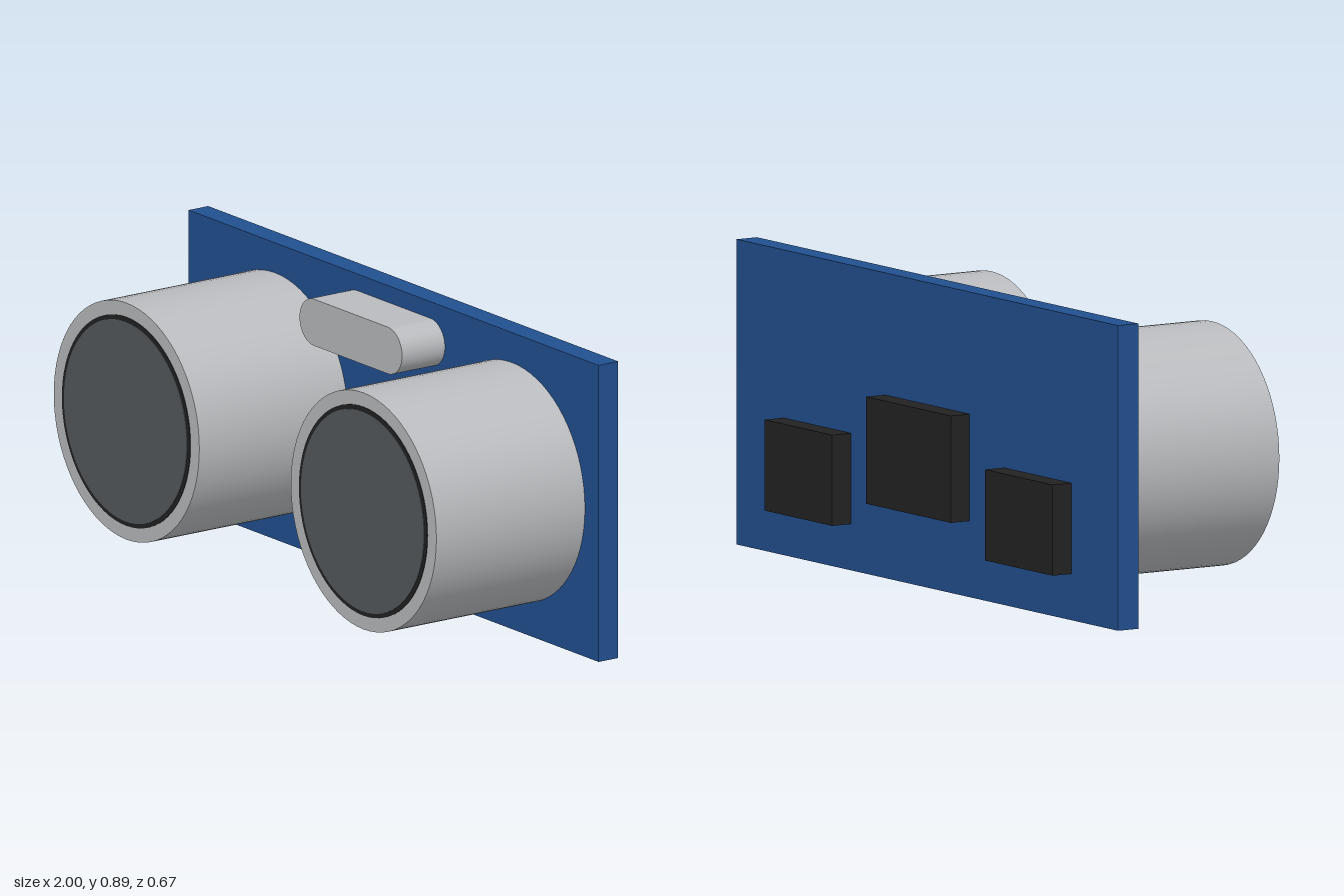
import * as THREE from 'three';

const material = (name, color) => {
  const m = new THREE.MeshStandardMaterial({ color });
  m.name = name;
  return m;
};

export function createModel() {
  const blue = material('board blue', 0x214f8f);
  const silver = material('silver', 0xb8babd);
  const black = material('black', 0x222222);
  const grey = material('mesh grey', 0x54585b);

  const model = new THREE.Group();
  model.name = 'ultrasonicSensor';

  const add = (name, geometry, mat, x, y, z) => {
    const mesh = new THREE.Mesh(geometry, mat);
    mesh.name = name;
    mesh.position.set(x, y, z);
    model.add(mesh);
  };
  // Box given by its extents
  const box = (name, mat, x0, x1, y0, y1, z0, z1) =>
    add(name, new THREE.BoxGeometry(x1 - x0, y1 - y0, z1 - z0), mat,
      (x0 + x1) / 2, (y0 + y1) / 2, (z0 + z1) / 2);
  // Cylinder along z from z0 to z1
  const disc = (name, mat, r, x, z0, z1) =>
    add(name, new THREE.CylinderGeometry(r, r, z1 - z0, 72).rotateX(Math.PI / 2), mat,
      x, 0.445, (z0 + z1) / 2);

  // Circuit board
  box('circuitBoard', blue, -1, 1, 0, 0.89, -0.27, -0.2);

  // Two transducers: barrel, dark rim and grille
  for (const [side, x] of [['left', 0.578], ['right', -0.578]]) {
    disc(side + 'Barrel', silver, 0.355, x, -0.2, 0.331);
    disc(side + 'Rim', black, 0.313, x, 0.331, 0.333);
    disc(side + 'Grille', grey, 0.3, x, 0.333, 0.335);
  }

  // Crystal can with rounded ends
  const r = 0.07, half = 0.25 - r;
  const can = new THREE.Shape();
  can.absarc(half, 0, r, -Math.PI / 2, Math.PI / 2, false);
  can.absarc(-half, 0, r, Math.PI / 2, Math.PI * 1.5, false);
  can.closePath();
  add('crystalCan', new THREE.ExtrudeGeometry(can,
    { depth: 0.153, bevelEnabled: false, curveSegments: 24 }), silver, 0, 0.77, -0.2);

  // Four contact pads
  for (let i = 0; i < 4; i++) {
    const x = -0.17 + i * 0.1125;
    box('contactPad' + (i + 1), silver, x - 0.024, x + 0.024, 0.055, 0.16, -0.2, -0.196);
  }

  // Chips on the back
  box('leftChip', black, 0.4, 0.755, 0.135, 0.4, -0.335, -0.27);
  box('middleChip', black, -0.222, 0.222, 0.222, 0.534, -0.335, -0.27);
  box('rightChip', black, -0.755, -0.4, 0.135, 0.4, -0.335, -0.27);

  return model;
}
